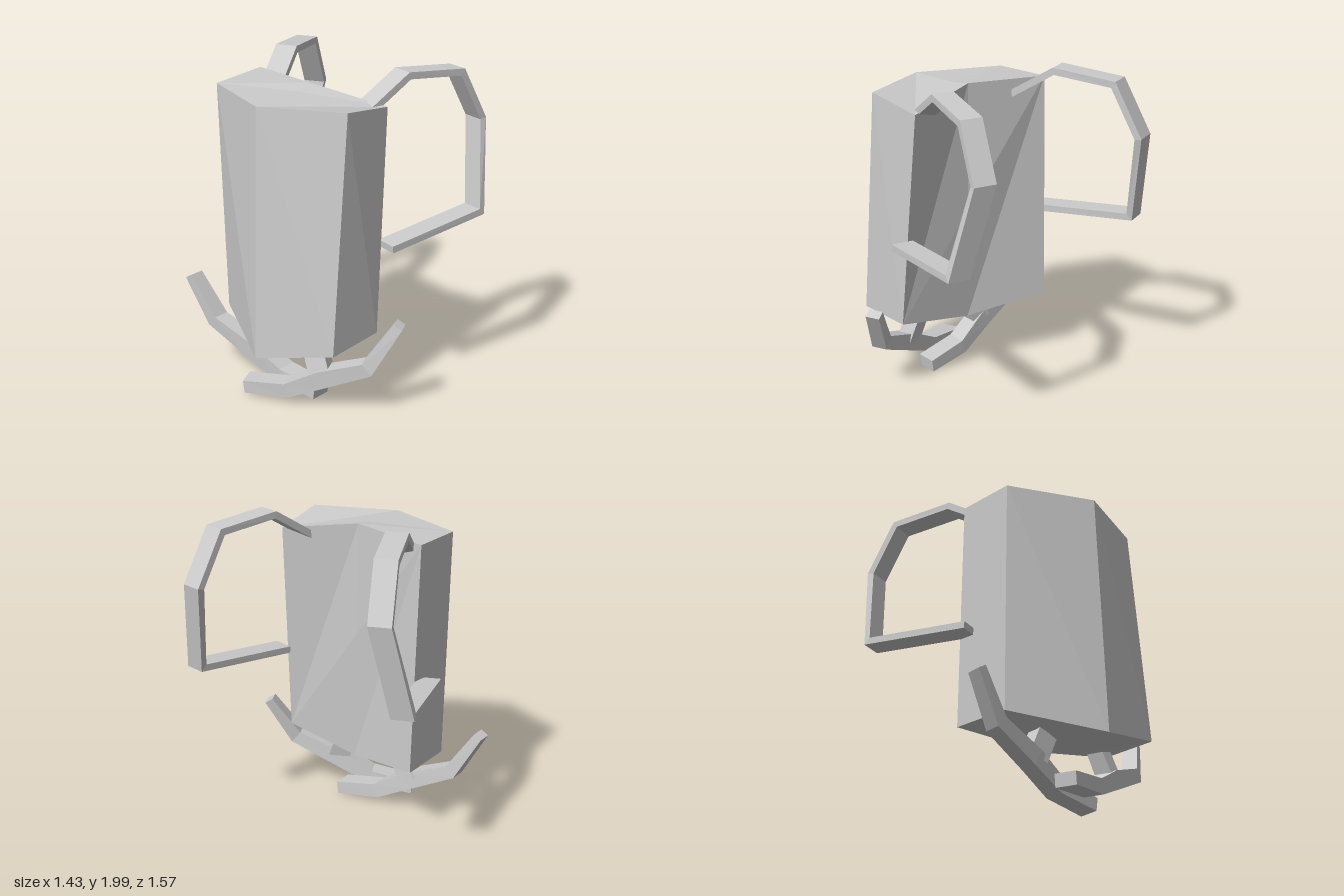
import * as THREE from 'three';

const material = new THREE.MeshStandardMaterial({ color: 0xcccccc, flatShading: true });

function makeMesh(name, points, index) {
  const geometry = new THREE.BufferGeometry().setFromPoints(points).setIndex(index).toNonIndexed();
  geometry.computeVertexNormals();
  const mesh = new THREE.Mesh(geometry, material);
  mesh.name = name;
  return mesh;
}

// Rectangular bar along a path with mitred corners; side is the half width
// vector, sizes holds [width scale, half thickness] for each path point.
function makeBar(name, path, side, sizes) {
  const pts = path.map(p => new THREE.Vector3(...p));
  const w = new THREE.Vector3(...side);
  const unit = w.clone().normalize();
  const corners = [], index = [];
  pts.forEach((p, i) => {
    const a = i > 0 ? p.clone().sub(pts[i - 1]).normalize() : null;
    const b = i < pts.length - 1 ? pts[i + 1].clone().sub(p).normalize() : null;
    const tangent = a && b ? a.clone().add(b).normalize() : (a || b).clone();
    const mitre = a && b ? 1 / tangent.dot(a) : 1;
    const [scale, thick] = sizes[i] || sizes[0];
    const n = tangent.cross(unit).normalize().multiplyScalar(thick * mitre);
    for (const [s, t] of [[1, 1], [-1, 1], [-1, -1], [1, -1]]) {
      corners.push(p.clone().addScaledVector(w, s * scale).addScaledVector(n, t));
    }
    if (i > 0) {
      for (let k = 0; k < 4; k++) {
        const j = (k + 1) % 4, lo = (i - 1) * 4, hi = i * 4;
        index.push(lo + k, lo + j, hi + j, lo + k, hi + j, hi + k);
      }
    }
  });
  const e = corners.length - 4;
  index.push(0, 2, 1, 0, 3, 2, e, e + 1, e + 2, e, e + 2, e + 3);
  return makeMesh(name, corners, index);
}

// Faceted six-sided pack body
function makeBody() {
  const top = [
    [-0.65, 1.875, -0.02], [-0.47, 1.885, 0.48], [-0.09, 1.83, 0.48],
    [-0.17, 1.905, -0.01], [-0.02, 1.885, -0.51], [-0.41, 1.87, -0.52], [-0.30, 1.885, -0.01],
  ];
  const bottom = [
    [-0.71, 0.345, -0.01], [-0.60, 0.455, 0.48], [-0.21, 0.47, 0.51],
    [-0.165, 0.38, 0.01], [0.028, 0.455, -0.49], [-0.38, 0.435, -0.50], [-0.44, 0.295, 0.01],
  ];
  const index = [
    0, 1, 2, 0, 2, 6, 6, 2, 3, 0, 6, 5, 6, 3, 5, 3, 4, 5,       // top
    2, 9, 3, 3, 9, 10, 3, 10, 4, 4, 9, 10, 4, 10, 11,           // folded strap side
  ];
  for (let i = 0; i < 6; i++) {
    const j = (i + 1) % 6;
    if (i !== 2 && i !== 3) index.push(i, i + 7, j + 7, i, j + 7, j);
    index.push(13, j + 7, i + 7);
  }
  return makeMesh('packBody', [...top, ...bottom].map(p => new THREE.Vector3(...p)), index);
}

// Shoulder straps, the front one mirrored and shifted slightly
function makeStrap(name, sign, shift) {
  const path = [
    [-0.11, 1.80, -0.355], [0.155, 1.975, -0.445], [0.515, 1.94, -0.575],
    [0.675, 1.63, -0.628], [0.56, 1.085, -0.715], [-0.12, 1.015, -0.535],
  ].map(([x, y, z]) => [x + shift, y, z * sign]);
  return makeBar(name, path, [0.02, 0, 0.065 * sign], [[1, 0.021]]);
}

// Bent, forked branch below the pack
function makeBranch(name, path, fork, side) {
  const group = new THREE.Group();
  group.name = name;
  const sizes = [[1.25, 0.04], [1.2, 0.045], [1.1, 0.055], [1, 0.042], [0.9, 0.028]];
  group.add(makeBar('branchStem', path, side, sizes));
  group.add(makeBar('branchFork', fork, side, [[1, 0.065], [0.95, 0.065]]));
  return group;
}

export function createModel() {
  const model = new THREE.Group();
  model.name = 'backpack';
  model.add(makeBody());
  model.add(makeStrap('backStrap', 1, 0), makeStrap('frontStrap', -1, -0.045));
  model.add(makeBranch('frontBranch',
    [[-0.56, 0.055, -0.21], [-0.50, 0.09, 0.07], [-0.44, 0.20, 0.28],
      [-0.36, 0.32, 0.56], [-0.25, 0.59, 0.70]],
    [[-0.44, 0.20, 0.28], [-0.42, 0.36, 0.215]], [0.048, 0, -0.018]));
  model.add(makeBranch('backBranch',
    [[-0.35, 0.043, 0.20], [-0.355, 0.085, -0.08], [-0.38, 0.195, -0.29],
      [-0.40, 0.32, -0.58], [-0.425, 0.59, -0.75]],
    [[-0.38, 0.20, -0.28], [-0.39, 0.36, -0.215]], [0.052, 0, 0.004]));
  return model;
}
